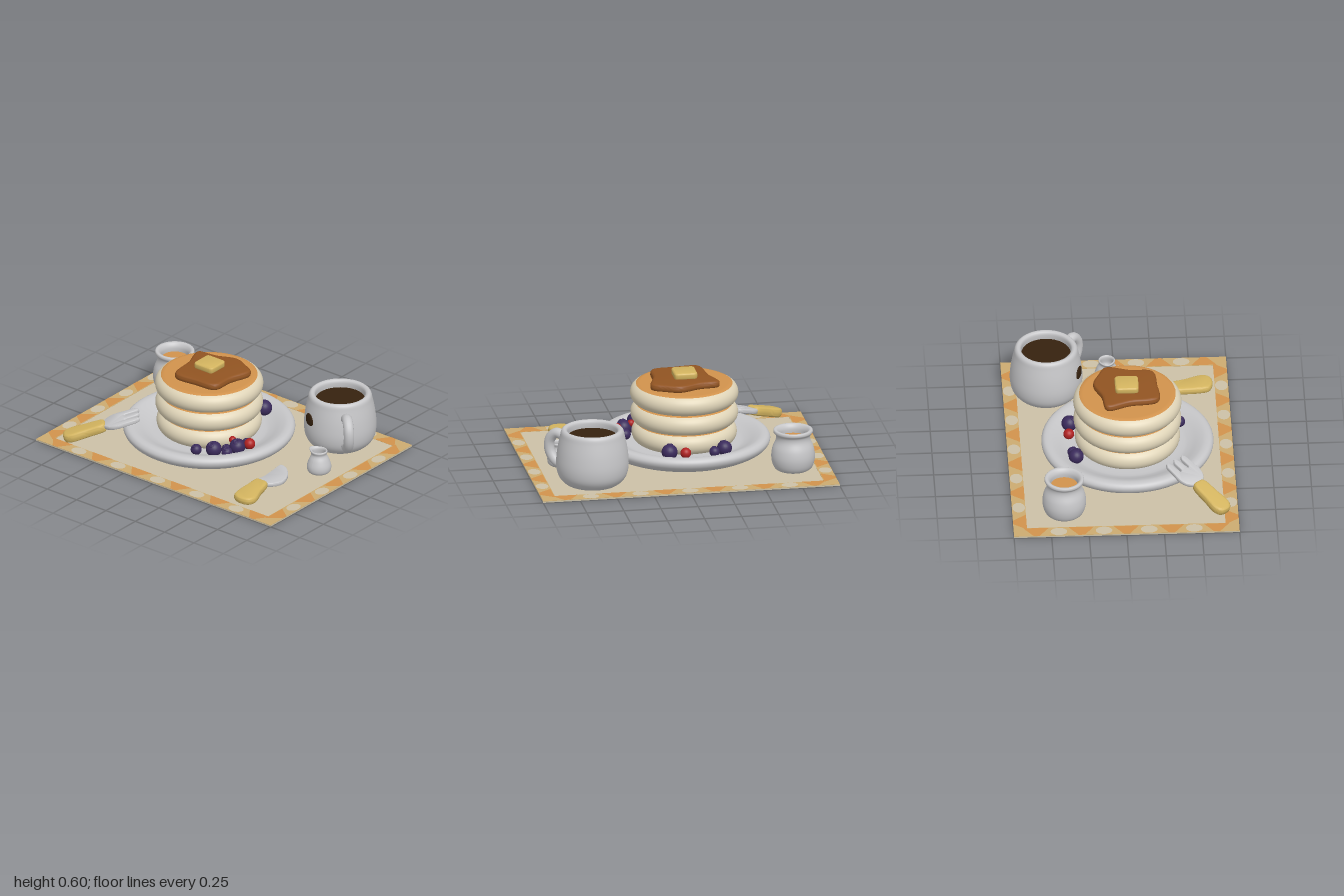
import * as THREE from 'three';
import { toCreasedNormals } from 'three/addons/utils/BufferGeometryUtils.js';

const material = (name, color) => {
  const m = new THREE.MeshStandardMaterial({ color });
  m.name = name;
  return m;
};
const V2 = (p) => new THREE.Vector2(p[0], p[1]);

export function createModel() {
  const ceramic = material('grey white', 0xc6c6c8);
  const linen = material('linen beige', 0xcbc0a6);
  const tan = material('border tan', 0xcbab70);
  const amber = material('golden brown', 0xd1924c);
  const batter = material('batter cream', 0xdfd4b8);
  const syrup = material('syrup brown', 0x915422);
  const butter = material('butter yellow', 0xd3b45f);
  const coffee = material('coffee brown', 0x36220f);
  const blue = material('blueberry purple', 0x3b2b5c);
  const red = material('berry red', 0xb02222);

  const model = new THREE.Group();
  model.name = 'breakfastSetting';
  const add = (name, geo, mat, parent = model, pos = [0, 0, 0]) => {
    const mesh = new THREE.Mesh(geo, mat);
    mesh.name = name;
    mesh.position.set(...pos);
    parent.add(mesh);
    return mesh;
  };
  const group = (name, x, y, z) => {
    const g = new THREE.Group();
    g.name = name;
    g.position.set(x, y, z);
    model.add(g);
    return g;
  };
  // Turned shape from a softly curved profile, listed from the base centre outwards and up
  const turned = (pts, n = 56) => {
    const curve = new THREE.CatmullRomCurve3(pts.map(([r, y]) => new THREE.Vector3(r, y, 0)), false, 'centripetal');
    const line = curve.getPoints(pts.length * 4).map((p) => new THREE.Vector2(Math.max(0, p.x), p.y));
    return new THREE.LatheGeometry(line, n);
  };
  // Rounded slab lying flat, outline given in x and z, top at y = 0
  const slab = (shape, thickness, bevel) => {
    const geo = new THREE.ExtrudeGeometry(shape, {
      depth: thickness - 2 * bevel, bevelThickness: bevel, bevelSize: bevel,
      bevelOffset: -bevel, bevelSegments: 4, curveSegments: 8,
    });
    geo.rotateX(Math.PI / 2);
    geo.translate(0, -bevel, 0);
    return toCreasedNormals(geo, 0.7);
  };
  const smoothShape = (pts, n = 60) => new THREE.Shape(
    new THREE.CatmullRomCurve3(pts.map(([x, z]) => new THREE.Vector3(x, z, 0)), true, 'centripetal')
      .getPoints(n).slice(0, n).map((p) => new THREE.Vector2(p.x, p.y)));
  const disc = (r) => new THREE.CircleGeometry(r, 48).rotateX(-Math.PI / 2);

  // Place mat with a patterned border
  const mat = group('placeMat', 0, 0, 0);
  add('matCloth', new THREE.BoxGeometry(2, 0.01, 1.5), linen, mat, [0, 0.005, 0]);
  for (const s of [-1, 1]) {
    add('borderLong', new THREE.BoxGeometry(2, 0.002, 0.09), tan, mat, [0, 0.0105, s * 0.705]);
    add('borderShort', new THREE.BoxGeometry(0.095, 0.002, 1.32), tan, mat, [s * 0.9525, 0.0105, 0]);
  }
  const triangle = (depth) => {
    const s = new THREE.Shape([[-0.085, 0], [0.085, 0], [0.02, depth], [-0.02, depth]].map(V2));
    return new THREE.ShapeGeometry(s).rotateX(-Math.PI / 2);
  };
  const topTri = triangle(0.09);
  const underTri = triangle(0.04).rotateZ(Math.PI);
  const oval = disc(1).scale(0.055, 1, 0.042);
  const edges = [[6, 0.335, 0.75, 0], [6, 0.335, 0.75, Math.PI], [5, 0.3, 1, Math.PI / 2], [5, 0.3, 1, -Math.PI / 2]];
  for (const [count, step, out, turn] of edges) {
    const side = new THREE.Group();
    side.name = 'borderPattern';
    side.rotation.y = turn;
    mat.add(side);
    for (let i = 0; i < count; i++) {
      const x = (i - (count - 1) / 2) * step;
      add('borderTriangle', topTri, amber, side, [x, 0.0125, -out + 0.09]);
      add('underTriangle', underTri, amber, side, [x, -0.0005, -out + 0.04]);
      if (i < count - 1) add('borderOval', oval, linen, side, [x + step / 2, 0.0122, -out + 0.045]);
    }
  }

  // Plate
  const meal = group('plateOfPancakes', -0.09, 0, 0.045);
  add('plate', turned([[0, 0.014], [0.3, 0.014], [0.38, 0.02], [0.5, 0.055], [0.56, 0.095], [0.572, 0.13],
    [0.555, 0.155], [0.52, 0.16], [0.48, 0.148], [0.42, 0.12], [0.37, 0.105], [0, 0.105]], 72), ceramic, meal);

  // Pancakes: pale rounded side and browned top share one profile
  const arc = (R, h, a0, a1) => Array.from({ length: 15 }, (_, i) => {
    const a = a0 + (a1 - a0) * i / 14;
    return new THREE.Vector2(R - h / 2 + Math.cos(a) * h / 2, Math.sin(a) * h / 2);
  });
  const split = 1.12;
  [[0.105, 0.35], [0.24, 0.358], [0.377, 0.36]].forEach(([y, R]) => {
    const h = 0.138;
    add('pancakeSide', new THREE.LatheGeometry([new THREE.Vector2(0, -h / 2), ...arc(R, h, -Math.PI / 2, split)], 64),
      batter, meal, [0, y + h / 2, 0]);
    add('pancakeTop', new THREE.LatheGeometry([...arc(R, h, split, Math.PI / 2), new THREE.Vector2(0, h / 2)], 64),
      amber, meal, [0, y + h / 2, 0]);
  });

  // Syrup puddle and butter
  add('syrupPuddle', slab(smoothShape([[-0.03, -0.18], [0.07, -0.145], [0.155, -0.09], [0.118, 0.07], [0.1, 0.22],
    [-0.05, 0.245], [-0.22, 0.245], [-0.258, 0.055], [-0.303, -0.1], [-0.165, -0.13]]), 0.05, 0.02), syrup, model, [0, 0.56, 0]);
  const pat = new THREE.Shape();
  pat.moveTo(-0.05, -0.078);
  [[0.05, -0.078, 0.078, -0.078, 0.078, -0.05], [0.078, 0.05, 0.078, 0.078, 0.05, 0.078],
    [-0.05, 0.078, -0.078, 0.078, -0.078, 0.05], [-0.078, -0.05, -0.078, -0.078, -0.05, -0.078]].forEach((c) => {
    pat.lineTo(c[0], c[1]);
    pat.quadraticCurveTo(c[2], c[3], c[4], c[5]);
  });
  add('butterPat', slab(pat, 0.045, 0.012), butter, model, [-0.09, 0.6, 0.04]);

  // Berries: x, z, radius
  const blueberries = [[-0.3, -0.305, 0.05], [-0.23, -0.325, 0.035], [0.075, -0.333, 0.053], [0.294, 0.12, 0.037],
    [0.289, 0.217, 0.053], [0.23, 0.26, 0.032], [0.19, 0.345, 0.053], [0.267, 0.302, 0.037], [0.085, 0.4, 0.037]];
  for (const [x, z, r] of blueberries) {
    const berry = group('blueberry', x, 0.107 + r, z);
    add('blueberryBody', new THREE.SphereGeometry(r, 24, 16), blue, berry);
    add('blueberryCrown', new THREE.TorusGeometry(r * 0.3, r * 0.1, 6, 10).rotateX(Math.PI / 2), blue, berry, [0, r * 0.95, 0]);
    berry.rotation.set(0.4, x * 9, 0.2);
  }
  for (const [x, z, r, y] of [[-0.033, -0.342, 0.036, 0.15], [0.348, 0.16, 0.037, 0.175], [0.24, 0.208, 0.024, 0.19]])
    add('redBerry', new THREE.SphereGeometry(r, 24, 16), red, model, [x, y, z]);

  // Coffee mug
  const mug = group('mug', 0.618, 0, -0.463);
  add('mugBody', turned([[0, 0.014], [0.13, 0.014], [0.18, 0.03], [0.225, 0.08], [0.241, 0.15], [0.235, 0.25],
    [0.216, 0.35], [0.206, 0.39], [0.19, 0.402], [0.168, 0.39], [0.163, 0.3], [0, 0.3]]), ceramic, mug);
  add('coffee', disc(0.164), coffee, mug, [0, 0.35, 0]);
  const loop = new THREE.CatmullRomCurve3([[0.2, 0.305], [0.28, 0.322], [0.33, 0.27], [0.33, 0.19], [0.28, 0.125], [0.2, 0.11]]
    .map(([x, y]) => new THREE.Vector3(x, y, 0)));
  add('mugHandle', new THREE.TubeGeometry(loop, 32, 0.035, 14), ceramic, mug).rotation.y = -0.72;
  const spot = add('mugSpot', new THREE.SphereGeometry(1, 24, 12).scale(0.047, 0.05, 0.009), coffee, mug, [-0.089, 0.245, 0.215]);
  spot.rotation.y = -0.39;

  // Syrup jar
  const jar = group('syrupJar', -0.745, 0, -0.405);
  add('jarBody', turned([[0, 0.014], [0.09, 0.014], [0.125, 0.035], [0.145, 0.1], [0.138, 0.17], [0.115, 0.23],
    [0.116, 0.26], [0.131, 0.28], [0.128, 0.297], [0.11, 0.297], [0.092, 0.27], [0.088, 0.2], [0, 0.2]]), ceramic, jar);
  add('jarSyrup', disc(0.09), amber, jar, [0, 0.24, 0]);

  // Little cream jug, its lip drawn out into a spout
  const jugGeo = turned([[0, 0.014], [0.05, 0.014], [0.075, 0.03], [0.081, 0.065], [0.066, 0.115], [0.05, 0.15],
    [0.056, 0.172], [0.05, 0.178], [0.042, 0.165], [0.045, 0.11], [0, 0.1]], 40);
  const p = jugGeo.attributes.position;
  for (let i = 0; i < p.count; i++) {
    const lift = Math.max(0, (p.getY(i) - 0.13) / 0.045);
    const left = Math.max(0, -p.getX(i) / 0.055) ** 4;
    p.setX(i, p.getX(i) - 0.02 * lift * left);
    p.setY(i, p.getY(i) + 0.006 * lift * left);
  }
  jugGeo.computeVertexNormals();
  add('creamJug', jugGeo, ceramic, model, [0.768, 0, -0.053]);

  // Fork leaning on the plate rim
  const fork = group('fork', -0.825, 0.05, 0.665);
  fork.rotation.set(0, 0.715, 0.3, 'YXZ');
  add('forkHandle', slab(smoothShape([[0, -0.035], [0.04, -0.062], [0.15, -0.058], [0.28, -0.042], [0.29, 0],
    [0.28, 0.042], [0.15, 0.058], [0.04, 0.062], [0, 0.035]]), 0.062, 0.02), butter, fork, [0, 0.031, 0]);
  const head = new THREE.Shape();
  head.moveTo(0.27, 0.025);
  head.lineTo(0.27, -0.025);
  head.bezierCurveTo(0.3, -0.09, 0.36, -0.1, 0.41, -0.092);
  for (const z of [-0.066, 0, 0.066]) {
    head.lineTo(0.49, z - 0.024);
    head.quadraticCurveTo(0.555, z, 0.49, z + 0.02);
    if (z < 0.06) {
      head.lineTo(0.43, z + 0.022);
      head.quadraticCurveTo(0.405, z + 0.033, 0.43, z + 0.044);
    }
  }
  head.lineTo(0.41, 0.092);
  head.bezierCurveTo(0.36, 0.1, 0.3, 0.09, 0.27, 0.025);
  add('forkHead', slab(head, 0.03, 0.008), ceramic, fork, [0, 0.018, 0]);

  // Butter knife
  const knife = group('knife', 0, 0, 0);
  add('knifeHandle', slab(smoothShape([[0.56, 0.35], [0.605, 0.338], [0.65, 0.348], [0.69, 0.46], [0.732, 0.58], [0.71, 0.63],
    [0.645, 0.645], [0.585, 0.62], [0.567, 0.56], [0.56, 0.45]]), 0.052, 0.02), butter, knife, [0, 0.067, 0]);
  add('knifeBlade', slab(smoothShape([[0.545, 0.078], [0.59, 0.08], [0.655, 0.135], [0.698, 0.21], [0.704, 0.275],
    [0.65, 0.35], [0.57, 0.36], [0.56, 0.25], [0.55, 0.16]]), 0.03, 0.008), ceramic, knife, [0, 0.052, 0]);

  return model;
}
